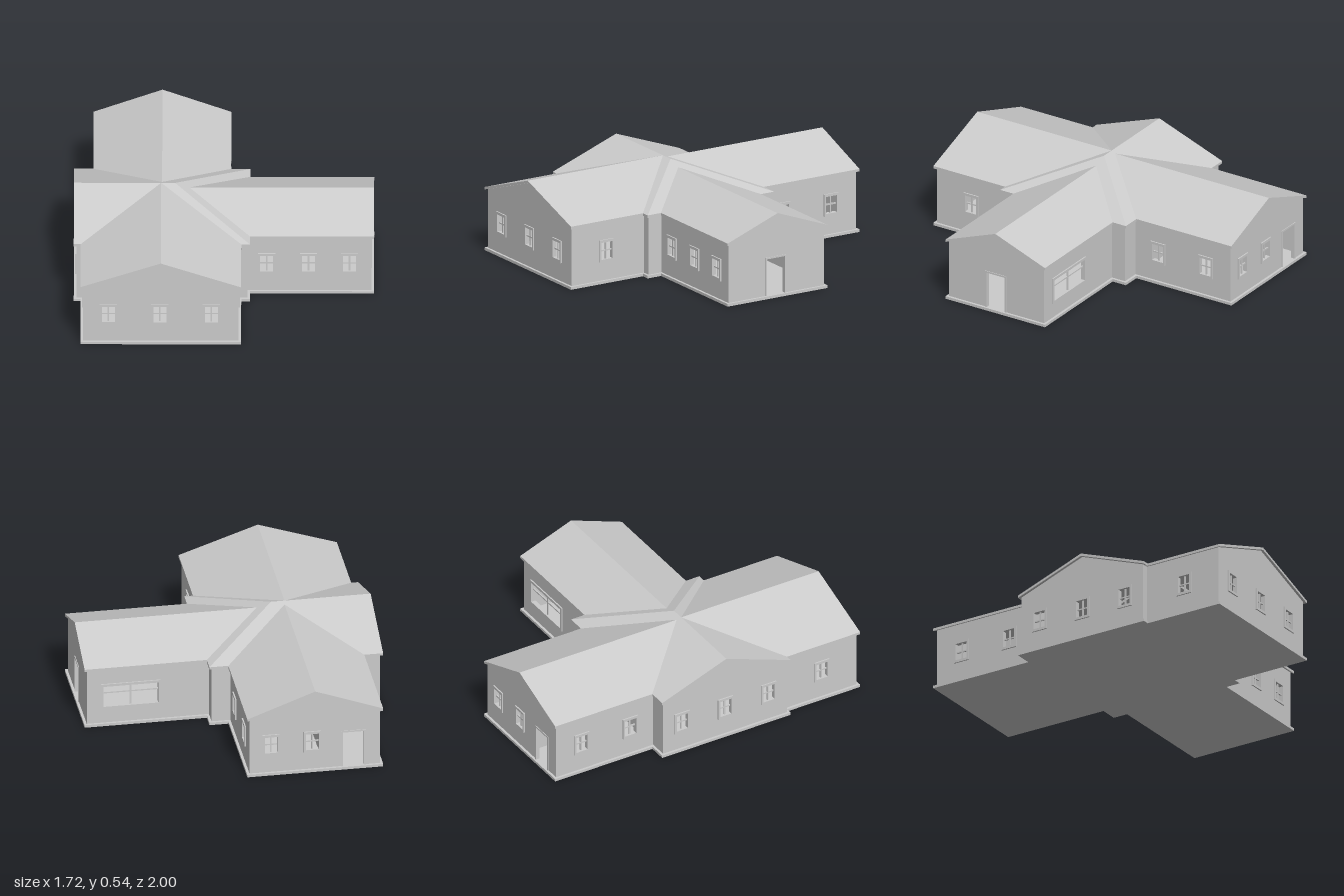
import * as THREE from 'three';

const EAVE = 0.378, ROOF_T = 0.015, INSET = 0.015, WALL_T = 0.02, SLAB = 0.016;
const mat = new THREE.MeshStandardMaterial({ color: 0xcccccc, flatShading: true, side: THREE.DoubleSide });

// Outer outline (x, z) with the wall that runs from each corner to the next:
// ridge = gable height, windows / doors = positions along x or z.
const outline = [
  { p: [-0.82, 1.0], ridge: 0.535, windows: [-0.66, -0.365, -0.07] },
  { p: [0.1, 1.0], windows: [0.75] },
  { p: [0.1, 0.51] },
  { p: [0.15, 0.51] },
  { p: [0.15, 0.42], windows: [0.245, 0.485, 0.72] },
  { p: [0.86, 0.42], ridge: 0.505, doors: [0.085] },
  { p: [0.86, -0.26], picture: [0.59] },
  { p: [0.15, -0.26] },
  { p: [0.15, -0.35] },
  { p: [0.04, -0.35], windows: [-0.49, -0.815] },
  { p: [0.04, -1.0], ridge: 0.525, windows: [-0.1, -0.34], doors: [-0.58] },
  { p: [-0.75, -1.0], windows: [-0.815, -0.49] },
  { p: [-0.75, -0.35] },
  { p: [-0.86, -0.35], ridge: 0.535, windows: [-0.21, 0.08, 0.37] },
  { p: [-0.86, 0.51] },
  { p: [-0.82, 0.51], windows: [0.75] },
];

function mesh(name, geo, parent) {
  const m = new THREE.Mesh(geo, mat);
  m.name = name;
  parent.add(m);
  return m;
}

function rectPath(cx, cy, w, h, Type = THREE.Path) {
  const x = w / 2, y = h / 2;
  return new Type([[-x, -y], [x, -y], [x, y], [-x, y]].map(([a, b]) => new THREE.Vector2(cx + a, cy + b)));
}

function extrude(shape, depth, z = 0) {
  return new THREE.ExtrudeGeometry(shape, { depth, bevelEnabled: false }).translate(0, 0, z);
}

// Convex roof panel: the given top face dropped by the roof thickness
function roofPanel(name, pts, parent) {
  const top = pts.map((p) => new THREE.Vector3(...p));
  const normal = new THREE.Vector3().crossVectors(top[1].clone().sub(top[0]), top[2].clone().sub(top[0]));
  if (normal.y < 0) top.reverse();
  const low = top.map((p) => p.clone().setY(p.y - ROOF_T));
  const tris = [], n = top.length;
  for (let i = 1; i < n - 1; i++) tris.push(top[0], top[i], top[i + 1], low[0], low[i + 1], low[i]);
  for (let i = 0; i < n; i++) {
    const j = (i + 1) % n;
    tris.push(top[i], low[i], low[j], top[i], low[j], top[j]);
  }
  const geo = new THREE.BufferGeometry().setFromPoints(tris);
  geo.computeVertexNormals();
  mesh(name, geo, parent);
}

// Two panels on either side of a ridge; at(u, y, v) places u across and v along
function gableRoof(name, mid, half, ridge, v0, v1, at, parent) {
  for (const s of [-1, 1]) {
    roofPanel(name, [
      at(mid + s * half, EAVE, v0), at(mid + s * half, EAVE, v1),
      at(mid, ridge, v1), at(mid, ridge, v0),
    ], parent);
  }
}

// Raised surround and crossed glazing bars
function windowFrame(name, cx, cy, w, h, barY, parent) {
  const g = new THREE.Group();
  g.name = name;
  const ring = rectPath(cx, cy, w + 0.026, h + 0.03, THREE.Shape);
  ring.holes.push(rectPath(cx, cy, w, h));
  mesh('windowSurround', extrude(ring, 0.01, -0.002), g);
  mesh('verticalBar', new THREE.BoxGeometry(0.009, h, 0.008), g).position.set(cx, cy, -0.008);
  mesh('horizontalBar', new THREE.BoxGeometry(w, 0.008, 0.008), g).position.set(cx, barY, -0.008);
  parent.add(g);
}

// Upright wall from a to b with its openings cut out; the outside faces local +z
function buildWall(spec, a, b, parent) {
  const dx = b[0] - a[0], dz = b[1] - a[1], len = Math.hypot(dx, dz);
  const along = (c) => (Math.abs(dx) > Math.abs(dz) ? (c - a[0]) * Math.sign(dx) : (c - a[1]) * Math.sign(dz));
  const g = new THREE.Group();
  g.name = spec.ridge ? 'gableWall' : 'sideWall';
  g.position.set(a[0], 0, a[1]);
  g.rotation.y = Math.atan2(-dz, dx);

  const top = 0.367;
  const shape = new THREE.Shape();
  shape.moveTo(0, 0).lineTo(len, 0).lineTo(len, top);
  if (spec.ridge) shape.lineTo(len / 2, spec.ridge - ROOF_T - 0.001);
  shape.lineTo(0, top);

  for (const c of spec.windows ?? []) {
    shape.holes.push(rectPath(along(c), 0.193, 0.074, 0.102));
    windowFrame('window', along(c), 0.193, 0.074, 0.102, 0.193, g);
  }
  for (const c of spec.picture ?? []) {
    shape.holes.push(rectPath(along(c), 0.187, 0.32, 0.13));
    windowFrame('wideWindow', along(c), 0.187, 0.32, 0.13, 0.207, g);
  }
  for (const c of spec.doors ?? []) {
    const h = 0.235 - SLAB;
    shape.holes.push(rectPath(along(c), SLAB + h / 2, 0.125, h));
    for (const s of [-1, 1]) {
      mesh('doorJamb', new THREE.BoxGeometry(0.01, h, 0.024), g)
        .position.set(along(c) + s * 0.066, SLAB + h / 2, -0.008);
    }
    mesh('doorLintel', new THREE.BoxGeometry(0.142, 0.01, 0.024), g).position.set(along(c), 0.24, -0.008);
  }
  mesh('wallPanel', extrude(shape, WALL_T, -WALL_T), g);
  parent.add(g);
}

export function createModel() {
  const house = new THREE.Group();
  house.name = 'house';

  // Floor slab
  const floor = new THREE.Shape(outline.map(({ p }) => new THREE.Vector2(p[0], -p[1])));
  mesh('floorSlab', extrude(floor, SLAB).rotateX(-Math.PI / 2), house);

  // Walls, set in from the outline on every side
  const n = outline.length;
  const corners = outline.map(({ p }, i) => {
    const prev = outline[(i + n - 1) % n].p, next = outline[(i + 1) % n].p;
    const inward = (s, e) => [Math.sign(e[1] - s[1]), -Math.sign(e[0] - s[0])];
    const m = inward(prev, p), k = inward(p, next);
    return [p[0] + INSET * (m[0] + k[0]), p[1] + INSET * (m[1] + k[1])];
  });
  const walls = new THREE.Group();
  walls.name = 'walls';
  outline.forEach((spec, i) => buildWall(spec, corners[i], corners[(i + 1) % n], walls));
  house.add(walls);

  // Inner partitions of the back wing
  mesh('crossPartition', new THREE.BoxGeometry(0.76, 0.35, 0.015), house).position.set(-0.355, 0.19, -0.33);
  mesh('longPartition', new THREE.BoxGeometry(0.015, 0.35, 0.62), house).position.set(-0.42, 0.19, -0.65);

  // Roof: three gabled wings running into the central block
  const roof = new THREE.Group();
  roof.name = 'roof';
  const alongZ = (u, y, v) => [u, y, v];
  const alongX = (u, y, v) => [v, y, u];
  gableRoof('frontWingRoof', -0.36, 0.46, 0.535, 0.08, 1.0, alongZ, roof);
  gableRoof('backWingRoof', -0.355, 0.395, 0.525, -1.0, 0.08, alongZ, roof);
  gableRoof('sideWingRoof', 0.08, 0.34, 0.505, -0.3, 0.86, alongX, roof);

  // Central roof: gable at one end, hip at the other
  for (const s of [-1, 1]) {
    const z = 0.08 + s * 0.43;
    roofPanel('centralRoof', [[-0.86, EAVE, z], [0.15, EAVE, z], [-0.28, 0.535, 0.08], [-0.86, 0.535, 0.08]], roof);
  }
  roofPanel('hipRoof', [[0.15, EAVE, 0.51], [0.15, EAVE, -0.35], [-0.28, 0.535, 0.08]], roof);
  house.add(roof);
  return house;
}
